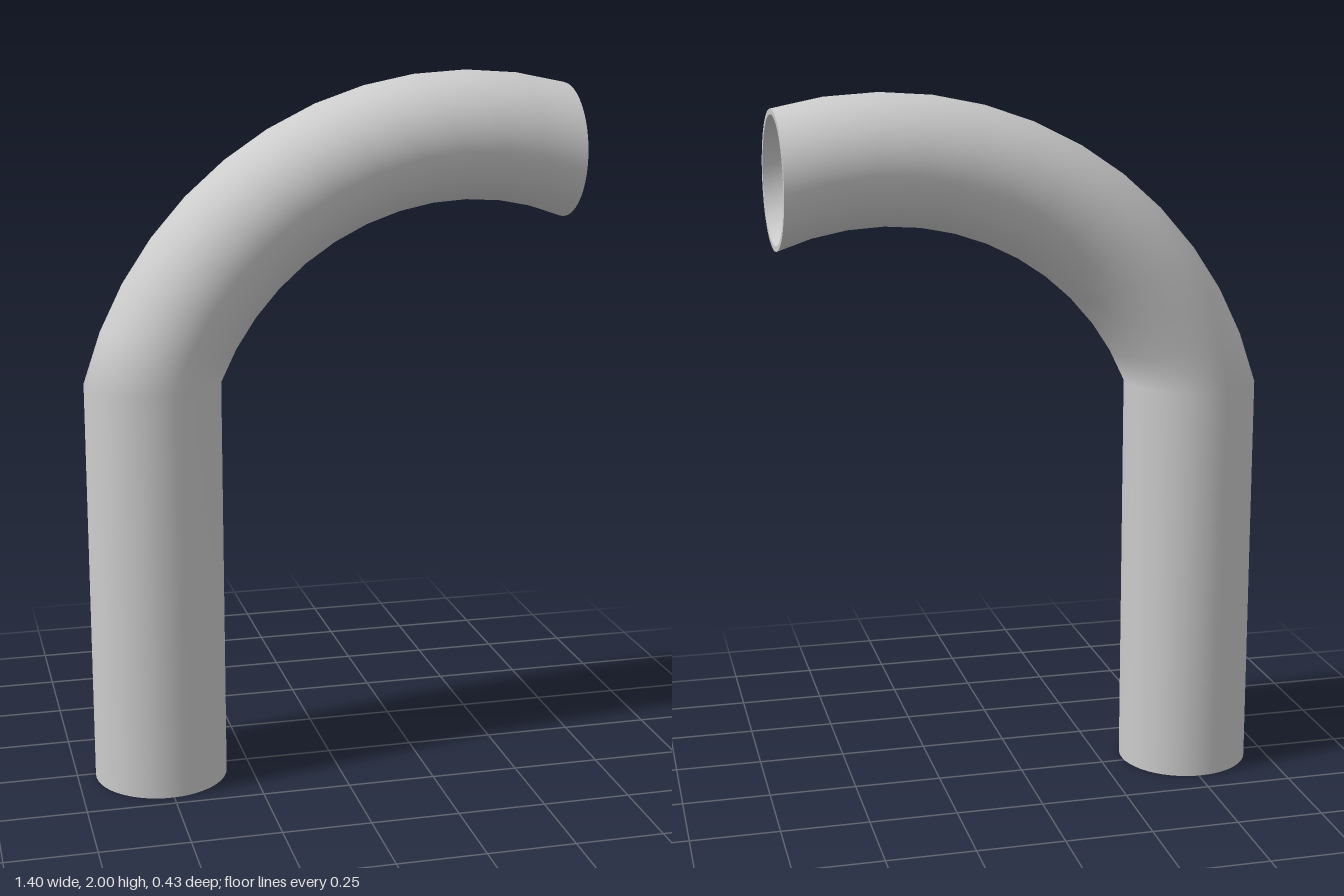
import * as THREE from 'three';

const SIDES = 48, STEPS = 12;
const OUTER = 0.19, INNER = 0.175;
const START_Y = 1.16;                    // where the bend begins
const PIVOT = { x: 0.905, y: 0.865 };    // centre of the bend

// Wall of the pipe: a floor ring, then a level ring spun a quarter turn about the pivot
function pipeWall(radius, inward) {
  const pos = [], index = [];
  for (let k = -1; k <= STEPS; k++) {
    const turn = Math.max(k, 0) / STEPS * Math.PI / 2;
    const c = Math.cos(turn), s = Math.sin(turn);
    for (let i = 0; i < SIDES; i++) {
      const a = i / SIDES * Math.PI * 2;
      const x = radius * Math.cos(a), z = radius * Math.sin(a);
      if (k < 0) { pos.push(x, 0, z); continue; }
      const dx = x - PIVOT.x, dy = START_Y - PIVOT.y;
      pos.push(PIVOT.x + dx * c + dy * s, PIVOT.y - dx * s + dy * c, z);
    }
  }
  for (let k = 0; k <= STEPS; k++) {
    for (let i = 0; i < SIDES; i++) {
      const j = (i + 1) % SIDES;
      const p = k * SIDES + i, q = k * SIDES + j, r = p + SIDES, t = q + SIDES;
      if (inward) index.push(p, q, r, q, t, r);
      else index.push(p, r, q, q, r, t);
    }
  }
  const geo = new THREE.BufferGeometry();
  geo.setAttribute('position', new THREE.Float32BufferAttribute(pos, 3));
  geo.setIndex(index);
  geo.computeVertexNormals();
  return geo;
}

export function createModel() {
  const group = new THREE.Group();
  group.name = 'bentPipe';
  const material = new THREE.MeshStandardMaterial({ color: 0xcccccc });
  const pipe = new THREE.Group();
  pipe.name = 'pipe';
  const add = (name, geo) => {
    const mesh = new THREE.Mesh(geo, material);
    mesh.name = name;
    pipe.add(mesh);
    return mesh;
  };

  add('outerWall', pipeWall(OUTER, false));
  add('innerWall', pipeWall(INNER, true));

  // Flat rims closing the wall thickness at both open ends
  const rim = () => new THREE.RingGeometry(INNER, OUTER, SIDES);
  add('bottomRim', rim().rotateX(Math.PI / 2));
  add('mouthRim', rim().rotateY(Math.PI / 2))
    .position.set(PIVOT.x + START_Y - PIVOT.y, PIVOT.y + PIVOT.x, 0);

  // The bend points slightly towards the back
  pipe.rotation.y = 0.038;
  pipe.position.set(-0.508, 0, 0.023);
  group.add(pipe);
  return group;
}
